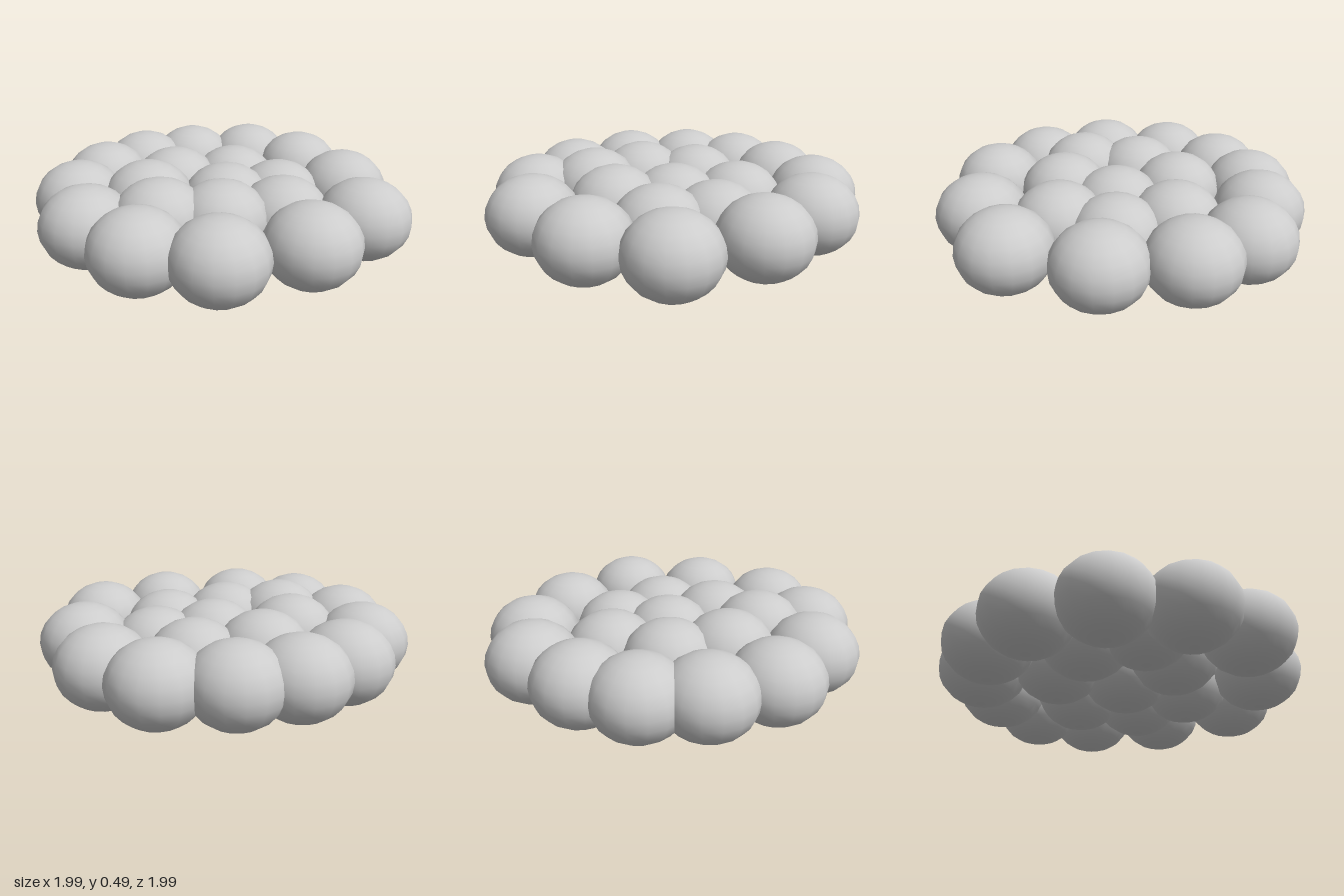
import * as THREE from 'three';

// Flat cluster of overlapping, slightly squashed balls: an outer ring around a tilted inner rosette.
export function createModel() {
  const model = new THREE.Group();
  model.name = 'ballCluster';

  const grey = new THREE.MeshStandardMaterial({ color: 0xcccccc });
  grey.name = 'light grey';

  // One squashed ball shared by every part
  const ball = new THREE.SphereGeometry(1, 16, 12);
  ball.scale(0.247, 0.215, 0.247);

  function addBalls(groupName, partName, centres) {
    const group = new THREE.Group();
    group.name = groupName;
    centres.forEach(([x, z, y = 0.25], i) => {
      const mesh = new THREE.Mesh(ball, grey);
      mesh.name = partName + (i + 1);
      mesh.position.set(x, y, z);
      group.add(mesh);
    });
    model.add(group);
  }

  // Outer ring, all at one height: [x, z]
  addBalls('outerRing', 'outerBall', [
    [0.05, -0.75], [0.41, -0.68], [0.65, -0.41], [0.745, 0.02],
    [0.64, 0.495], [0.25, 0.72], [-0.22, 0.748], [-0.558, 0.54],
    [-0.748, 0.18], [-0.735, -0.22], [-0.537, -0.53], [-0.265, -0.71],
  ]);

  // Inner ring, higher at the -x side: [x, z, y]
  addBalls('innerRing', 'innerBall', [
    [-0.17, -0.3, 0.255], [0.19, -0.31, 0.23], [0.36, -0.01, 0.217],
    [0.27, 0.3, 0.234], [-0.08, 0.33, 0.26], [-0.39, 0.265, 0.278],
    [-0.38, -0.06, 0.27],
  ]);

  // Middle ball
  addBalls('centre', 'centreBall', [[0.04, 0.02, 0.24]]);

  return model;
}
